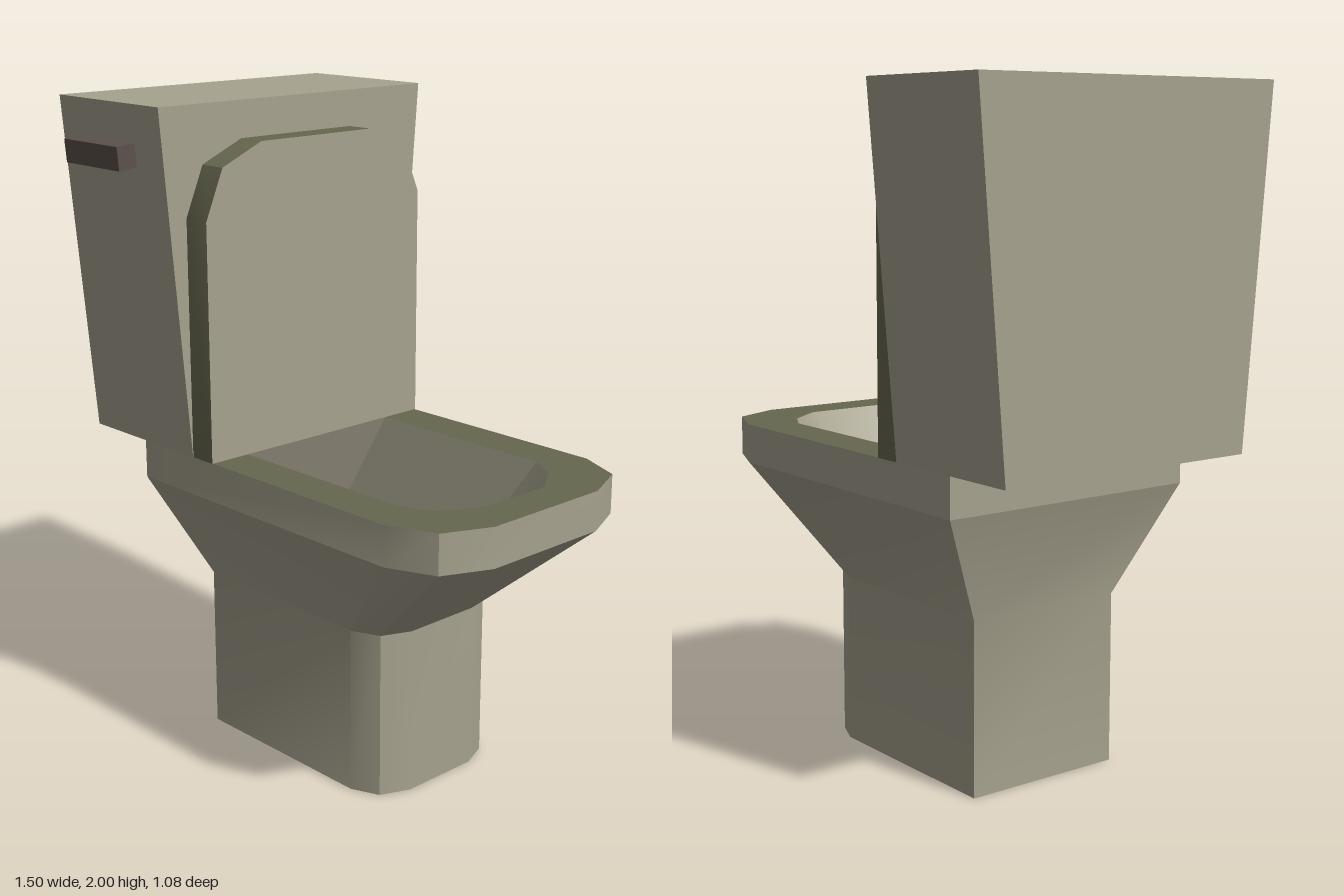
import * as THREE from 'three';
import { toCreasedNormals } from 'three/addons/utils/BufferGeometryUtils.js';

const CREASE = THREE.MathUtils.degToRad(30);

// Symmetric outline with a square back and a faceted rounded front: [x, z] pairs
function outline(back, front) {
  const half = [[back, front[0][1]], ...front];
  return [...half, ...half.slice().reverse().map(([x, z]) => [x, -z])];
}

// Joins outlines set at heights into a skin, with optional flat ends
function loft(rings, { first = false, last = false } = {}) {
  const n = rings[0].pts.length;
  const pos = rings.flatMap(r => r.pts.flatMap(([x, z]) => [x, r.y, z]));
  const idx = [];
  for (let r = 0; r < rings.length - 1; r++) {
    for (let i = 0; i < n; i++) {
      const a = r * n + i, b = r * n + (i + 1) % n;
      idx.push(a, b, b + n, a, b + n, a + n);
    }
  }
  const top = (rings.length - 1) * n;
  for (let i = 1; i < n - 1; i++) {
    if (first) idx.push(0, i + 1, i);
    if (last) idx.push(top, top + i, top + i + 1);
  }
  const g = new THREE.BufferGeometry();
  g.setAttribute('position', new THREE.Float32BufferAttribute(pos, 3));
  g.setIndex(idx);
  return toCreasedNormals(g, CREASE);
}

export function createModel() {
  const ceramic = new THREE.MeshStandardMaterial({ color: 0xa6a28e });
  const seatOlive = new THREE.MeshStandardMaterial({ color: 0x66674f });
  const darkBrown = new THREE.MeshStandardMaterial({ color: 0x5c514b });
  ceramic.name = 'ceramic';
  seatOlive.name = 'seatOlive';
  darkBrown.name = 'darkBrown';

  const model = new THREE.Group();
  model.name = 'toilet';
  const body = new THREE.Group();
  body.name = 'body';
  body.position.z = -0.0275;
  model.add(body);
  const add = (name, geometry, material) => {
    const mesh = new THREE.Mesh(geometry, material);
    mesh.name = name;
    body.add(mesh);
    return mesh;
  };

  // Outlines seen from above
  const foot = outline(-0.4, [[0.235, 0.255], [0.322, 0.218], [0.36, 0.128]]);
  const rim = outline(-0.51, [[0.54, 0.42], [0.685, 0.36], [0.75, 0.213]]);
  const opening = outline(-0.18, [[0.46, 0.287], [0.545, 0.24], [0.625, 0.13]]);
  const basin = outline(-0.35, [[0.21, 0.198], [0.268, 0.165], [0.33, 0.09]]);

  // Pedestal flaring out to the bowl
  add('pedestal', loft([
    { pts: foot, y: 0 }, { pts: foot, y: 0.515 }, { pts: rim, y: 0.845 },
  ], { first: true }), ceramic);
  add('rimSide', loft([{ pts: rim, y: 0.845 }, { pts: rim, y: 0.965 }]), ceramic);

  // Seat ring, inner bowl and its floor
  add('seat', loft([{ pts: rim, y: 0.965 }, { pts: opening, y: 0.965 }]), seatOlive);
  add('bowlInside', loft([{ pts: opening, y: 0.965 }, { pts: basin, y: 0.56 }]), ceramic);
  add('bowlFloor', loft([{ pts: basin, y: 0.56 }], { last: true }), darkBrown);

  // Raised lid: drawn flat, then stood upright against the tank
  const lid = outline(0.965, [[1.68, 0.423], [1.828, 0.36], [1.89, 0.215]]);
  const lidFace = loft([{ pts: lid, y: 0.18 }], { first: true });
  const lidEdge = loft([{ pts: lid, y: 0.18 }, { pts: lid, y: 0.27 }], { last: true });
  add('lidFace', lidFace.rotateZ(Math.PI / 2), ceramic);
  add('lidEdge', lidEdge.rotateZ(Math.PI / 2), seatOlive);

  // Tank, wider at the top
  const tankGeo = new THREE.BoxGeometry(0.48, 1.035, 1);
  const p = tankGeo.attributes.position;
  for (let i = 0; i < p.count; i++) {
    p.setZ(i, Math.sign(p.getZ(i)) * (p.getY(i) > 0 ? 0.512 : 0.424));
  }
  tankGeo.computeVertexNormals();
  add('tank', tankGeo, ceramic).position.set(-0.51, 1.4825, 0);

  // Flush handle, leaning with the tank wall
  const handle = add('flushHandle', new THREE.BoxGeometry(0.26, 0.07, 0.08), darkBrown);
  handle.position.set(-0.528, 1.852, 0.522);
  handle.rotation.x = 0.085;

  return model;
}
